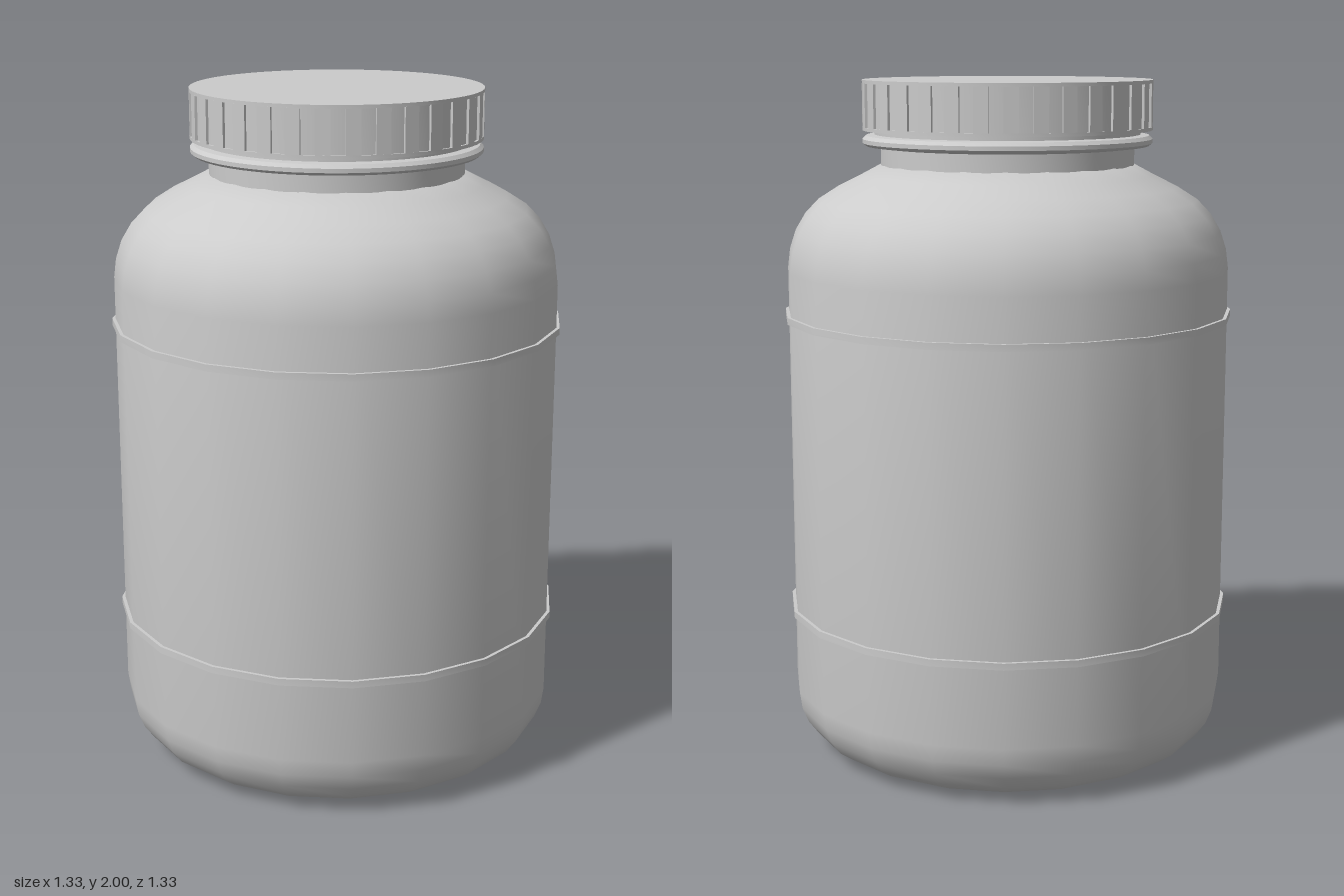
import * as THREE from 'three';
import { toCreasedNormals } from 'three/addons/utils/BufferGeometryUtils.js';

const BODY_SIDES = 20;
const CAP_SIDES = 64;
const RIBS = 32;

export function createModel() {
  const model = new THREE.Group();
  const material = new THREE.MeshStandardMaterial({ color: 0xcccccc });

  function add(name, geometry, parent = model) {
    const mesh = new THREE.Mesh(geometry, material);
    mesh.name = name;
    parent.add(mesh);
    return mesh;
  }

  // Profile of [radius, height] pairs, bottom to top, spun round y
  function turned(name, profile, sides, parent) {
    const points = profile.map(([r, y]) => new THREE.Vector2(r, y));
    return add(name, toCreasedNormals(new THREE.LatheGeometry(points, sides), 0.65), parent);
  }

  // Faceted body with rounded base and shoulder
  turned('body', [
    [0, 0], [0.48, 0], [0.525, 0.006], [0.565, 0.025], [0.6, 0.05], [0.63, 0.09], [0.648, 0.135],
    [0.655, 0.185], [0.655, 1.45], [0.648, 1.505], [0.63, 1.56], [0.6, 1.61], [0.56, 1.652],
    [0.5, 1.69], [0.43, 1.725], [0.37, 1.757], [0.34, 1.757],
  ], BODY_SIDES);

  // Raised bands above and below the label area
  for (const [name, y] of [['lowerBand', 0.42], ['upperBand', 1.305]]) {
    turned(name, [[0.64, y], [0.665, y], [0.665, y + 0.02], [0.64, y + 0.02]], BODY_SIDES);
  }

  // Neck with its collar ring
  turned('neck', [
    [0.372, 1.74], [0.372, 1.805], [0.415, 1.81], [0.425, 1.818], [0.425, 1.83],
    [0.415, 1.84], [0.39, 1.843], [0.39, 1.87],
  ], CAP_SIDES);

  // Screw cap: recessed wall between two rims
  const cap = new THREE.Group();
  cap.name = 'cap';
  model.add(cap);
  turned('capShell', [
    [0.36, 1.855], [0.425, 1.855], [0.425, 1.865], [0.418, 1.865],
    [0.418, 1.99], [0.425, 1.99], [0.425, 2], [0, 2],
  ], CAP_SIDES, cap);

  // Grip ribs round the cap wall
  const ribGeometry = new THREE.BoxGeometry(0.042, 0.125, 0.02);
  for (let i = 0; i < RIBS; i++) {
    const angle = (i / RIBS) * Math.PI * 2;
    const rib = add('gripRib', ribGeometry, cap);
    rib.position.set(Math.sin(angle) * 0.4145, 1.9275, Math.cos(angle) * 0.4145);
    rib.rotation.y = angle;
  }

  return model;
}
